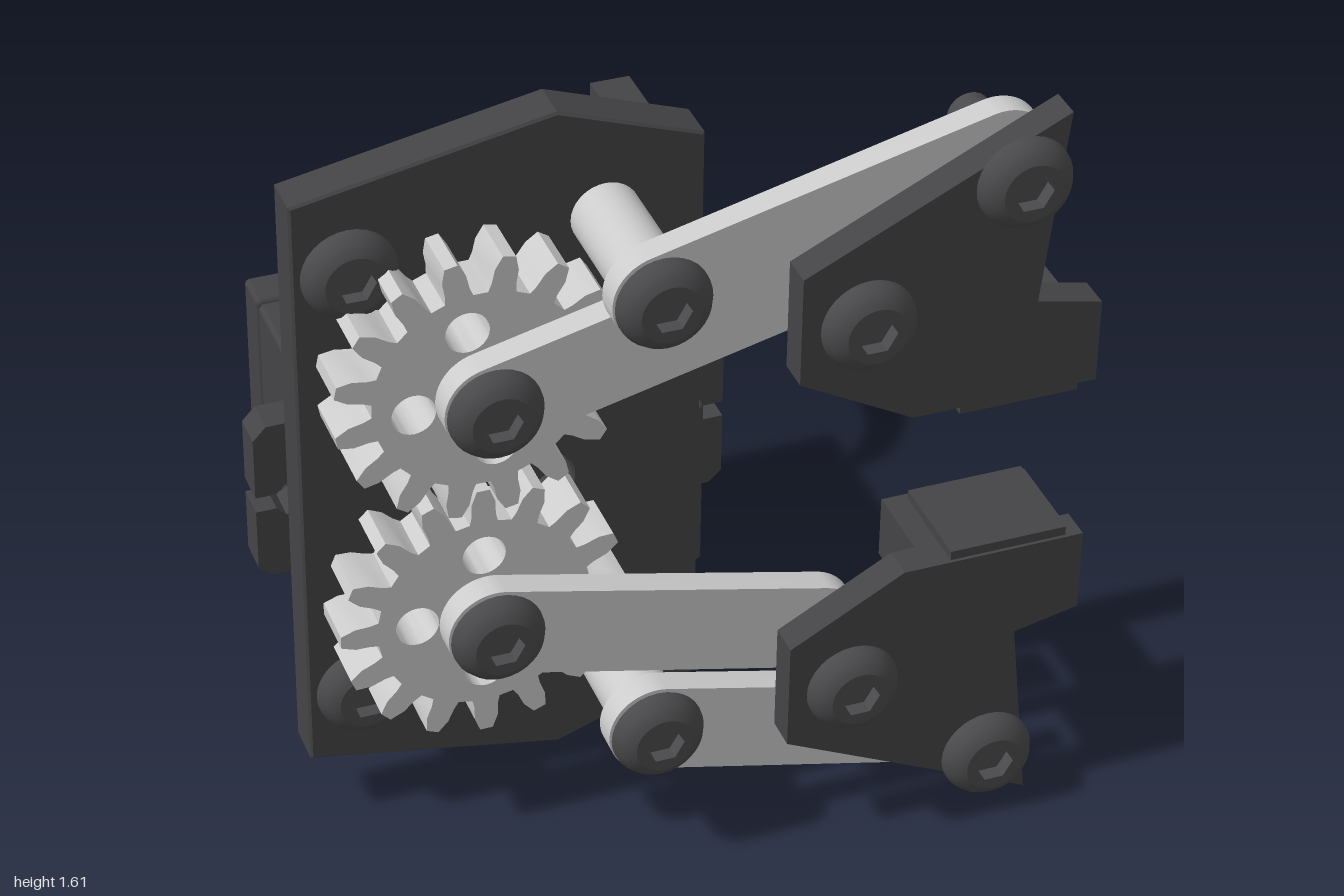
import * as THREE from 'three';
import { toCreasedNormals } from 'three/addons/utils/BufferGeometryUtils.js';
import { RoundedBoxGeometry } from 'three/addons/geometries/RoundedBoxGeometry.js';

const mat = (color) => new THREE.MeshStandardMaterial({ color });
const MID = 0.815; // height of the mirror line between the two fingers

export function createModel() {
  const root = new THREE.Group();
  root.name = 'servoGripper';
  const grey = mat(0xcccccc), dark = mat(0x444446), steel = mat(0x4a4a4c);
  const gold = mat(0xd8b060);

  const add = (name, geo, material, x = 0, y = 0, z = 0, parent = root) => {
    const m = new THREE.Mesh(geo, material);
    m.name = name;
    m.position.set(x, y, z);
    parent.add(m);
    return m;
  };
  const box = (name, x0, x1, y0, y1, z0, z1, material, r = 0) => {
    const s = [x1 - x0, y1 - y0, z1 - z0];
    const g = r ? new RoundedBoxGeometry(...s, 2, r) : new THREE.BoxGeometry(...s);
    return add(name, g, material, (x0 + x1) / 2, (y0 + y1) / 2, (z0 + z1) / 2);
  };
  // cylinder lying along z from z0 to z1
  const rod = (name, r, x, y, z0, z1, material, parent = root) =>
    add(name, new THREE.CylinderGeometry(r, r, z1 - z0, 32).rotateX(Math.PI / 2), material, x, y, (z0 + z1) / 2, parent);
  const poly = (pts) => new THREE.Shape(pts.map(([x, y]) => new THREE.Vector2(x, y)));
  const hole = (shape, x, y, r) => shape.holes.push(new THREE.Path().absarc(x, y, r, 0, Math.PI * 2, true));
  const slab = (shape, z0, z1, bevel = 0) => toCreasedNormals(new THREE.ExtrudeGeometry(shape, {
    depth: z1 - z0 - 2 * bevel, curveSegments: 16, bevelEnabled: bevel > 0,
    bevelSize: bevel, bevelOffset: -bevel, bevelThickness: bevel, bevelSegments: 1,
  }).translate(0, 0, z0 + bevel), 0.5);

  // Button-head screw with hex socket; z is the underside of the head
  const profile = [[0.045, 0], [0.088, 0], [0.095, 0.007], [0.094, 0.018], [0.086, 0.035], [0.074, 0.048], [0.06, 0.055]];
  const headGeo = toCreasedNormals(new THREE.LatheGeometry(
    profile.map(([r, y]) => new THREE.Vector2(r, y)), 32).rotateX(Math.PI / 2), 0.7);
  const cap = new THREE.Shape().absarc(0, 0, 0.06, 0, Math.PI * 2);
  cap.holes.push(new THREE.Path(Array.from({ length: 6 }, (_, i) => new THREE.Vector2(
    0.04 * Math.cos(-i * Math.PI / 3), 0.04 * Math.sin(-i * Math.PI / 3)))));
  const capGeo = slab(cap, 0.025, 0.055);
  const screw = (name, x, y, z, end) => {
    const g = new THREE.Group();
    g.name = name;
    g.position.set(x, y, z);
    root.add(g);
    add('screwHead', headGeo, steel, 0, 0, 0, g);
    add('screwSocket', capGeo, steel, 0, 0, 0, g);
    rod('screwShank', 0.045, 0, 0, end - z + 0.01, 0.025, steel, g);
    rod('screwTip', 0.037, 0, 0, end - z, end - z + 0.012, steel, g);
  };

  // Base plate
  const plate = poly([[-0.73, 0.16], [-0.205, 0.06], [0.09, 0.165], [0.09, 1.465], [-0.205, 1.57], [-0.73, 1.47]]);
  [[-0.405, 1.08, 0.05], [-0.405, 0.55, 0.125], [-0.25, 0.91, 0.075], [-0.25, 0.73, 0.075],
    [-0.11, 1.325, 0.05], [-0.11, 0.305, 0.05], [-0.62, 1.31, 0.045], [-0.62, 0.32, 0.045],
  ].forEach((h) => hole(plate, ...h));
  add('basePlate', slab(plate, 0.46, 0.555, 0.005), dark);

  // Gears
  const gearShape = () => {
    const pts = [], n = 16, step = Math.PI * 2 / n;
    for (let i = 0; i < n; i++) {
      for (const [r, a] of [[0.218, -0.13], [0.235, -0.105], [0.265, -0.09], [0.293, -0.045],
        [0.293, 0.045], [0.265, 0.09], [0.235, 0.105], [0.218, 0.13]]) {
        pts.push([r * Math.cos(i * step + a), r * Math.sin(i * step + a)]);
      }
    }
    const s = poly(pts);
    hole(s, 0, 0, 0.045);
    for (let i = 0; i < 4; i++) hole(s, 0.138 * Math.cos(i * Math.PI / 2), 0.138 * Math.sin(i * Math.PI / 2), 0.044);
    return s;
  };
  const gearGeo = slab(gearShape(), 0.577, 0.692);
  add('driveGear', gearGeo, grey, -0.405, 0.55);
  add('idlerGear', gearGeo, grey, -0.405, 1.08).rotation.z = Math.PI / 16;
  rod('servoShaft', 0.118, -0.405, 0.55, 0.43, 0.577, gold);

  // Flat link with rounded ends and pivot holes
  const link = (name, ax, ay, bx, by, z0, z1) => {
    const a = Math.atan2(by - ay, bx - ax), h = Math.PI / 2;
    const s = new THREE.Shape();
    s.absarc(bx, by, 0.097, a - h, a + h);
    s.absarc(ax, ay, 0.097, a + h, a + 3 * h);
    hole(s, ax, ay, 0.045);
    hole(s, bx, by, 0.045);
    add(name, slab(s, z0, z1), grey);
  };

  // Two mirrored finger assemblies
  for (const s of [1, -1]) {
    const n = s > 0 ? 'upper' : 'lower';
    const fy = (y) => MID + s * (y - MID);
    screw(n + 'PlateScrew', -0.62, fy(1.31), 0.555, 0.3);
    link(n + 'DriveLink', -0.405, fy(1.08), 0.265, fy(1.245), 0.705, 0.762);
    link(n + 'FollowerLink', -0.11, fy(1.325), 0.565, fy(1.495), 0.805, 0.86);
    rod(n + 'Spacer', 0.07, -0.11, fy(1.325), 0.555, 0.805, grey);
    screw(n + 'GearScrew', -0.405, fy(1.08), 0.762, 0.5);
    screw(n + 'SpacerScrew', -0.11, fy(1.325), 0.86, 0.5);

    const finger = poly([[0.66, 1.62], [0.615, 1.21], [0.75, 1.18], [0.75, 1.0],
      [0.37, 1.0], [0.135, 1.13], [0.135, 1.365]].map(([x, y]) => [x, fy(y)]));
    hole(finger, 0.265, fy(1.245), 0.045);
    hole(finger, 0.565, fy(1.495), 0.045);
    add(n + 'Finger', slab(finger, 0.877, 0.945), dark);
    screw(n + 'FingerInnerScrew', 0.265, fy(1.245), 0.945, 0.685);
    screw(n + 'FingerOuterScrew', 0.565, fy(1.495), 0.945, 0.69);

    const span = (a, b) => [Math.min(fy(a), fy(b)), Math.max(fy(a), fy(b))];
    box(n + 'GripBlock', 0.42, 0.73, ...span(1.0, 1.135), 0.71, 0.88, dark);
    box(n + 'GripPad', 0.47, 0.715, ...span(0.98, 1.002), 0.725, 0.938, dark);
  }

  // Servo case in three sections around a core, leaving seam grooves
  box('servoCore', -0.59, 0.135, 0.365, 0.74, -0.28, 0.43, dark);
  for (const [name, z0, z1] of [['servoRearCap', -0.3, -0.205], ['servoCase', -0.196, 0.386], ['servoFrontCap', 0.395, 0.445]]) {
    box(name, -0.6, 0.145, 0.355, 0.75, z0, z1, dark, 0.012);
  }
  rod('servoBoss', 0.18, -0.405, 0.55, 0.44, 0.465, dark);

  // Slotted mounting ears with ribs
  for (const s of [1, -1]) {
    const X = (d) => -0.2275 + s * d;
    const ear = new THREE.Shape();
    const pts = [[0.36, 0.37], [0.475, 0.37], [0.503, 0.395], [0.503, 0.535], [0.46, 0.535],
      [0.44, 0.515], [0.415, 0.525], [0.405, 0.5525], [0.415, 0.58], [0.44, 0.59], [0.46, 0.57],
      [0.503, 0.57], [0.503, 0.71], [0.475, 0.74], [0.36, 0.74]];
    ear.setFromPoints(pts.map(([x, y]) => new THREE.Vector2(X(x), y)));
    add('mountingEar', slab(ear, 0.138, 0.215), dark);
    // rib outline lies in x and z, extruded upward
    const rib = poly([[X(0.36), 0], [X(0.373), 0], [X(0.455), -0.14], [X(0.36), -0.14]]);
    add('earRib', slab(rib, 0.575, 0.608).rotateX(-Math.PI / 2), dark);
  }

  // Cable: strain relief, three wires and plug
  box('strainRelief', 0.14, 0.222, 0.48, 0.63, -0.23, -0.13, dark, 0.008);
  [[0.525, 0xd08a28], [0.556, 0xb83226], [0.587, 0x65432c]].forEach(([y, color]) => {
    const path = new THREE.CatmullRomCurve3([[0.2, -0.18], [0.28, -0.183], [0.36, -0.215], [0.425, -0.29],
      [0.458, -0.4], [0.467, -0.5], [0.468, -0.6]].map(([x, z]) => new THREE.Vector3(x, y, z)));
    add('wire', new THREE.TubeGeometry(path, 32, 0.0175, 12), mat(color));
  });
  box('cablePlug', 0.42, 0.516, 0.49, 0.616, -1, -0.577, dark);

  return root;
}
